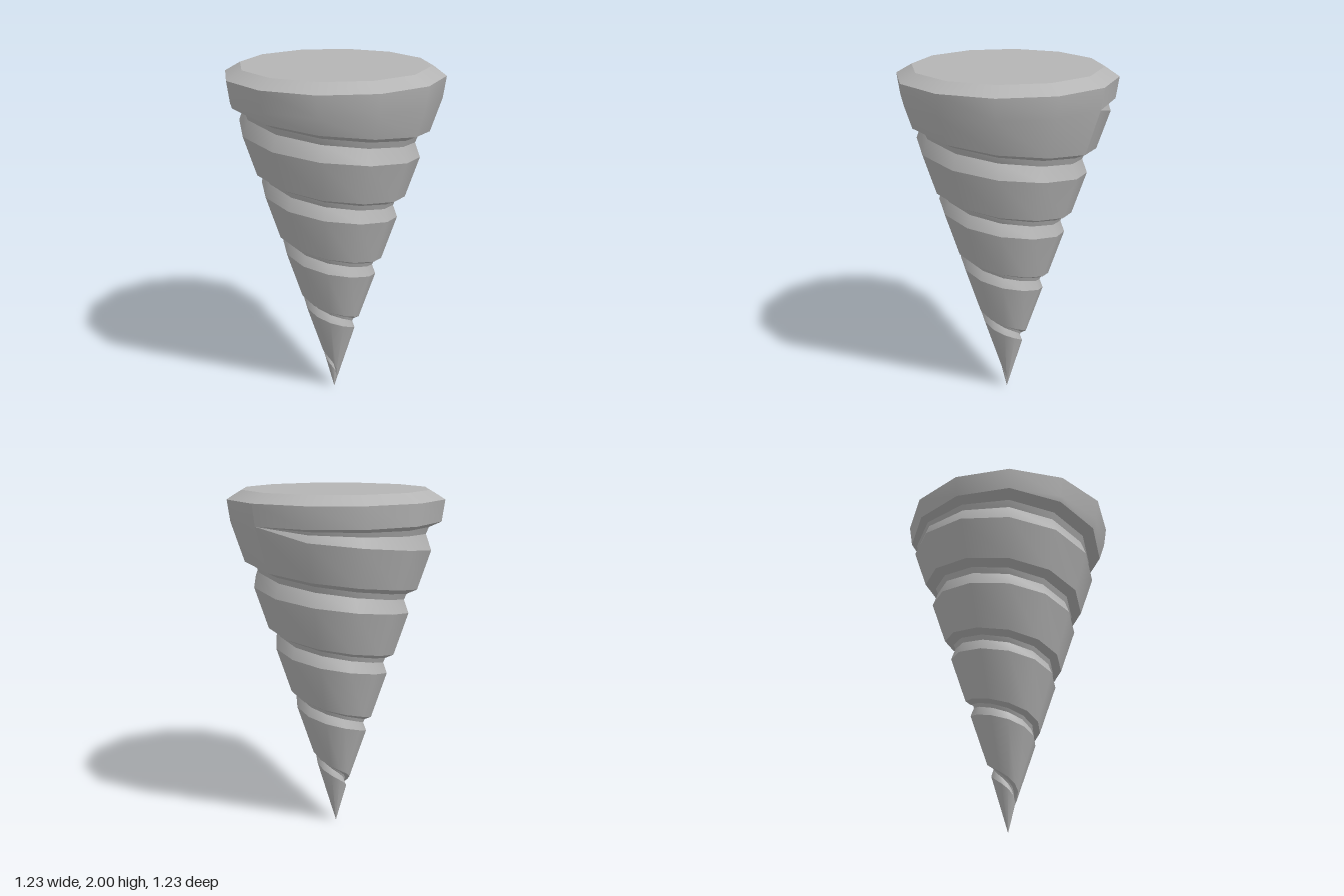
import * as THREE from 'three';

const SIDES = 12, LAST = 58, RIM_Y = 1.83;
const metal = new THREE.MeshStandardMaterial({ color: 0xb4b4b4 });
metal.name = 'grey metal';

const cone = (y) => Math.max(0.335 * y - 0.0135, 0);

// Point on the spiral: k counts twelfths of a turn, winding downwards
function at(k, r, y) {
  const a = (k / SIDES) * Math.PI * 2;
  return [r * Math.cos(a), y, -r * Math.sin(a)];
}

// Groove cross-section at step k, from lower lip (0) to upper lip (3)
function groove(k, i) {
  const y = k === 0 ? RIM_Y : 1.79 - 0.03 * k;
  const fade = Math.min(1, (LAST - k) / 4);
  const w = Math.min(RIM_Y - y, (0.045 + 0.07 * y) * fade);
  if (i === 0) return at(k, cone(y), y);
  if (i === 3) return at(k, cone(y + w), y + w);
  const [inset, rise] = i === 1 ? [0.2, 0.56] : [0.1, 0.8];
  return at(k, Math.max(cone(y) - inset * w, 0), y + rise * w);
}

// Smooth strip through rows (top to bottom), each a function of k
function strip(name, rows, count) {
  const pos = [], index = [], n = rows.length;
  for (let k = 0; k <= count; k++) {
    rows.forEach((row) => pos.push(...row(k)));
    if (k === count) break;
    for (let j = 0; j < n - 1; j++) {
      const a = k * n + j, b = a + 1, c = b + n, d = a + n;
      index.push(a, b, c, a, c, d);
    }
  }
  const g = new THREE.BufferGeometry();
  g.setAttribute('position', new THREE.Float32BufferAttribute(pos, 3));
  g.setIndex(index);
  g.computeVertexNormals();
  return part(name, g);
}

function part(name, geometry) {
  const m = new THREE.Mesh(geometry, metal);
  m.name = name;
  return m;
}

export function createModel() {
  const model = new THREE.Group();
  model.name = 'drillBit';

  // Flat top and bevelled edge
  const cap = part('topCap', new THREE.CircleGeometry(0.53, SIDES).rotateX(-Math.PI / 2));
  cap.position.y = 2;
  const bevel = part('topBevel', new THREE.CylinderGeometry(0.53, 0.617, 0.05, SIDES, 1, true));
  bevel.position.y = 1.975;
  model.add(cap, bevel);

  // Rim above the first turn of the groove
  model.add(strip('rim', [
    (k) => at(k, 0.617, 1.95),
    (k) => at(k, cone(RIM_Y), RIM_Y),
    (k) => groove(k, 3),
  ], SIDES));

  // Groove faces: overhang, back wall, sloping shelf
  ['grooveShelf', 'grooveWall', 'grooveOverhang'].forEach((name, i) => {
    model.add(strip(name, [(k) => groove(k, i + 1), (k) => groove(k, i)], LAST));
  });

  // Outer thread face, closing to the point on the last turn
  model.add(strip('thread', [
    (k) => groove(k, 0),
    (k) => (k + SIDES <= LAST ? groove(k + SIDES, 3) : [0, 0, 0]),
  ], LAST));

  return model;
}
